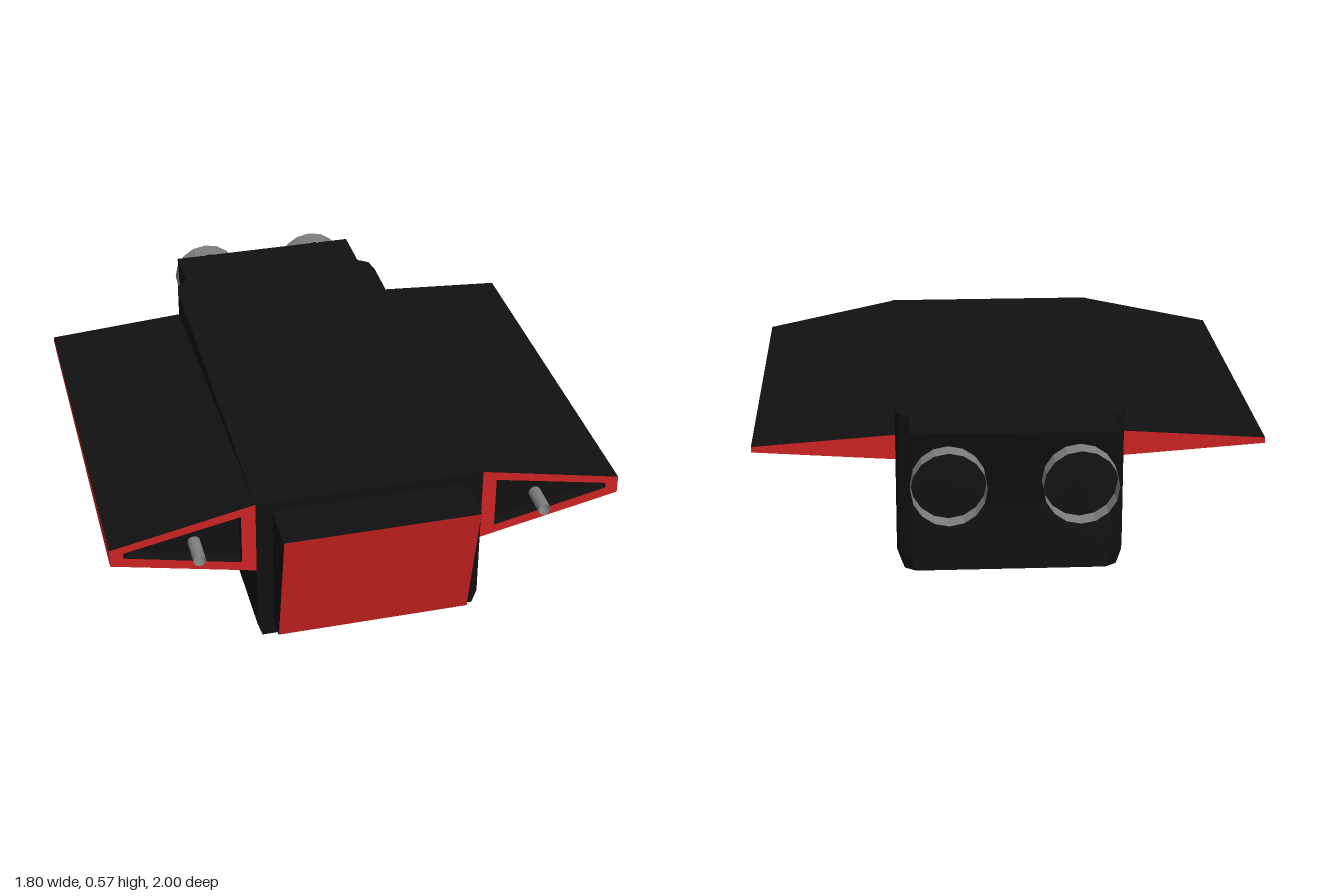
import * as THREE from 'three';

const paint = (color) => new THREE.MeshStandardMaterial({ color, flatShading: true, side: THREE.DoubleSide });
const black = paint(0x111111);
const red = paint(0xcc2222);
const grey = paint(0x808080);

function add(parent, name, geometry, material) {
  const mesh = new THREE.Mesh(geometry, material);
  mesh.name = name;
  parent.add(mesh);
  return mesh;
}

// Flat-sided surface from convex polygons, each a list of [x, y, z]
function polygons(list) {
  const pos = [];
  for (const p of list) {
    for (let i = 1; i < p.length - 1; i++) pos.push(...p[0], ...p[i], ...p[i + 1]);
  }
  const g = new THREE.BufferGeometry();
  g.setAttribute('position', new THREE.Float32BufferAttribute(pos, 3));
  g.computeVertexNormals();
  return g;
}

// Closed solid through loops ordered from front to back, counter-clockwise from the front
function loft(loops) {
  const faces = [loops[0], [...loops[loops.length - 1]].reverse()];
  for (let s = 0; s < loops.length - 1; s++) {
    const a = loops[s], b = loops[s + 1];
    a.forEach((_, i) => {
      const j = (i + 1) % a.length;
      faces.push([a[i], b[i], b[j], a[j]]);
    });
  }
  return polygons(faces);
}

const rect = (w, y0, y1, z0, z1) => [[-w, y0, z0], [w, y0, z0], [w, y1, z1], [-w, y1, z1]];

function createWing() {
  const wing = new THREE.Group();
  const zFront = 0.83, zFloor = 0.79, zRear = -0.6;
  // Section corners: root bottom, tip bottom, tip top, root top
  const section = (z) => {
    const t = (zFront - z) / (zFront - zRear);
    const mix = (a, b) => a + (b - a) * t;
    return [
      [0.4, mix(0.29, 0.385), z], [0.9, mix(0.4, 0.42), z],
      [0.9, mix(0.465, 0.44), z], [0.4, mix(0.57, 0.475), z],
    ];
  };
  const f = section(zFront), m = section(zFloor), r = section(zRear);

  // Skins and recessed floor behind the intake
  add(wing, 'wingSkin', polygons([[f[0], r[0], r[1], f[1]], [f[2], r[2], r[3], f[3]], m]), black);
  add(wing, 'wingTipAndRear', polygons([[f[1], r[1], r[2], f[2]], [...r].reverse()]), red);

  // Frame around the triangular intake
  const shape = new THREE.Shape(f.map(([x, y]) => new THREE.Vector2(x, y)));
  const hole = [[0.45, 0.335], [0.45, 0.528], [0.855, 0.446], [0.855, 0.426]];
  shape.holes.push(new THREE.Path(hole.map(([x, y]) => new THREE.Vector2(x, y))));
  add(wing, 'intakeFrame', new THREE.ShapeGeometry(shape).translate(0, 0, zFront), red);
  add(wing, 'intakeWalls', polygons(hole.map(([x, y], i) => {
    const [u, v] = hole[(i + 1) % hole.length];
    return [[x, y, zFront], [u, v, zFront], [u, v, zFloor], [x, y, zFloor]];
  })), black);

  // Open barrel
  const barrel = new THREE.CylinderGeometry(0.022, 0.022, 0.11, 12, 1, true).rotateX(Math.PI / 2);
  add(wing, 'barrel', barrel, grey).position.set(0.607, 0.423, 0.845);
  return wing;
}

function createThruster() {
  const thruster = new THREE.Group();
  const tube = (rRear, rFront, z0, z1) =>
    new THREE.CylinderGeometry(rFront, rRear, z1 - z0, 16, 1, true)
      .rotateX(Math.PI / 2).translate(0, 0, (z0 + z1) / 2);
  add(thruster, 'thrusterRim', tube(0.128, 0.128, -1, -0.925), grey);
  add(thruster, 'thrusterCone', tube(0.11, 0.075, -0.925, -0.82), grey);
  add(thruster, 'thrusterPlate', new THREE.CircleGeometry(0.127, 16).rotateY(Math.PI).translate(0, 0, -0.925), black);
  return thruster;
}

export function createModel() {
  const model = new THREE.Group();
  model.name = 'spacecraft';

  // Hull with chamfered lower edges and a tapered stern
  const hull = [[0.83, 0.4], [-0.6, 0.4], [-0.66, 0.39], [-0.69, 0.35]].map(([z, w]) => [
    [-w + 0.017, 0, z], [w - 0.017, 0, z], [w, 0.05, z],
    [w, 0.572, z], [-w, 0.572, z], [-w, 0.05, z],
  ]);
  add(model, 'hull', loft(hull), black);

  // Nose block with its sloping front panel
  const noseFront = rect(0.342, 0.05, 0.525, 0.9, 1);
  add(model, 'nose', loft([noseFront, rect(0.342, 0.045, 0.532, 0.82, 0.82)]), black);
  add(model, 'nosePanel', polygons([noseFront.map(([x, y, z]) => [x * 0.995, y, z + 0.002])]), red);

  // Engine block
  add(model, 'engineBlock', loft([
    rect(0.352, 0.29, 0.571, -0.68, -0.68),
    rect(0.352, 0.29, 0.568, -0.805, -0.875),
  ]), black);

  // Mirrored wings and engines
  for (const side of [1, -1]) {
    const wing = createWing();
    wing.name = side > 0 ? 'leftWing' : 'rightWing';
    wing.scale.x = side;
    model.add(wing);

    const thruster = createThruster();
    thruster.name = side > 0 ? 'leftThruster' : 'rightThruster';
    thruster.position.set(side * 0.22 + 0.005, 0.416, 0);
    model.add(thruster);
  }
  return model;
}
